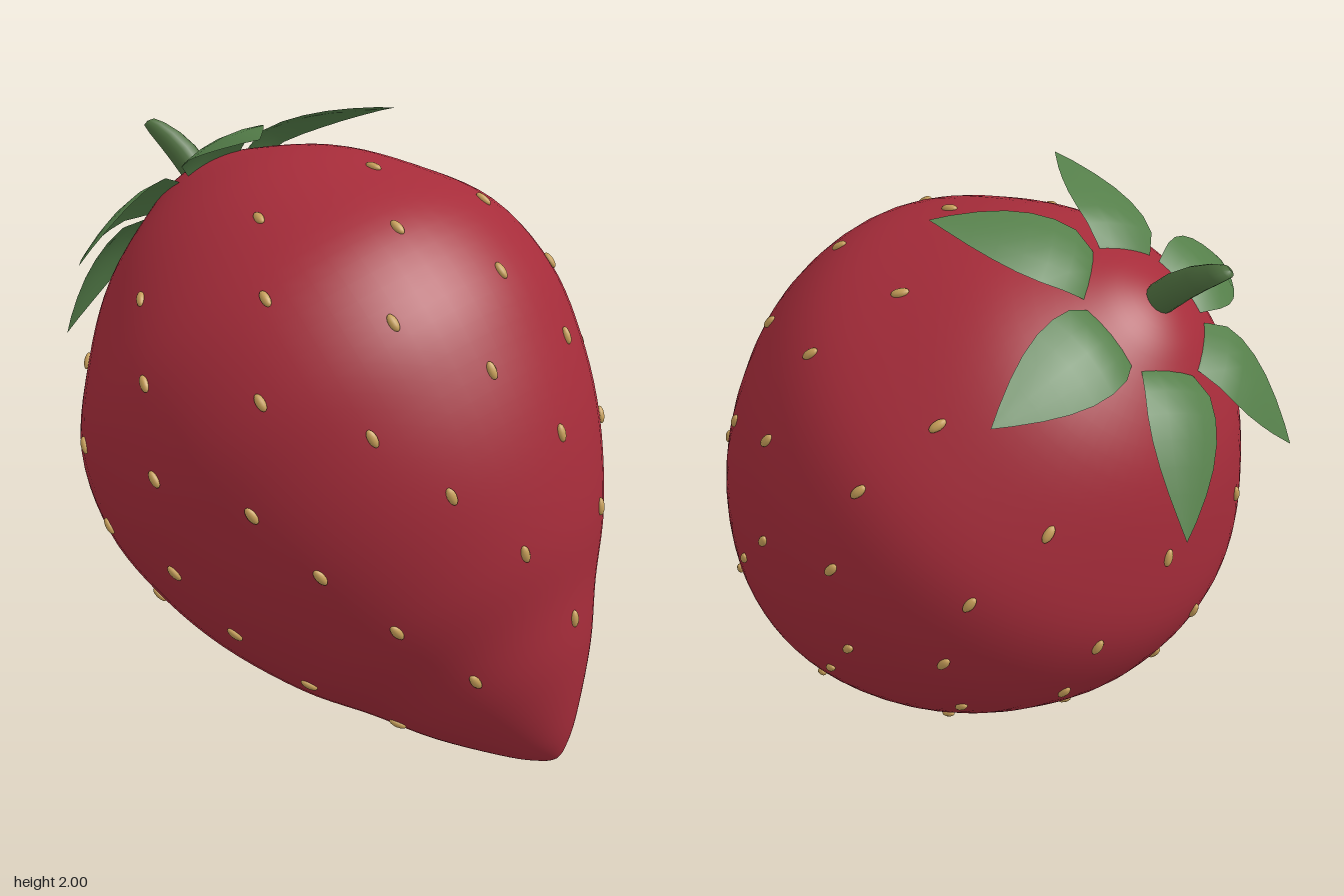
import * as THREE from 'three';
import { mergeGeometries } from 'three/addons/utils/BufferGeometryUtils.js';

const material = (color, extra = {}) => new THREE.MeshStandardMaterial({ color, roughness: 0.8, ...extra });

// The fruit is shaped upright around its own axis: (radius, height) from tip to crown
const profile = new THREE.SplineCurve([
  [0, -1.385], [0.04, -1.37], [0.13, -1.3], [0.3, -1.125], [0.43, -0.955], [0.583, -0.767],
  [0.73, -0.51], [0.82, -0.253], [0.858, 0], [0.81, 0.27], [0.65, 0.51], [0.46, 0.71],
  [0.22, 0.86], [0.1, 0.91], [0, 0.925],
].map(([r, y]) => new THREE.Vector2(r, y))).getPoints(70);
profile[0].x = profile[70].x = 0;

// Slight sideways curl of the tip
function curl(geometry) {
  const p = geometry.attributes.position;
  for (let i = 0; i < p.count; i++) {
    const x = p.getX(i), y = p.getY(i);
    p.setXY(i, x + 0.025 * Math.min(y, 0) ** 2, y + 0.02 * x);
  }
  return geometry;
}

// Small ellipsoid lying on the skin, long side running from crown to tip
function seed(y, angle) {
  const i = profile.findIndex((q) => q.y > y);
  const a = profile[i - 1], b = profile[i];
  const r = a.x + (b.x - a.x) * (y - a.y) / (b.y - a.y);
  return new THREE.SphereGeometry(1, 10, 8)
    .scale(0.012, 0.029, 0.015)
    .rotateZ(-Math.atan2(b.x - a.x, b.y - a.y))
    .translate(r + 0.003, y, 0)
    .rotateY(angle);
}

// Arched pointed leaf: stations of [distance from axis, height, half width]
function leaf() {
  const stations = [
    [0.12, 0.81, 0.05], [0.17, 0.845, 0.08], [0.22, 0.868, 0.105], [0.29, 0.886, 0.13], [0.36, 0.874, 0.136],
    [0.43, 0.85, 0.128], [0.5, 0.818, 0.107], [0.57, 0.78, 0.075], [0.64, 0.74, 0.034], [0.69, 0.71, 0],
  ];
  const across = 4;
  const g = new THREE.PlaneGeometry(1, 1, across, stations.length - 1);
  const p = g.attributes.position;
  stations.forEach(([r, y, w], i) => {
    for (let j = 0; j <= across; j++) {
      const v = j / across * 2 - 1;
      p.setXYZ(i * (across + 1) + j, r, y - 1.2 * (v * w) ** 2, v * w);
    }
  });
  g.computeVertexNormals();
  return g;
}

export function createModel() {
  const model = new THREE.Group();
  const add = (name, geometry, mat) => {
    const mesh = new THREE.Mesh(geometry, mat);
    mesh.name = name;
    model.add(mesh);
  };

  // Fruit body
  add('fruit', curl(new THREE.LatheGeometry(profile, 64)), material(0xa62c3a));

  // Seeds in evenly spaced rings: [count, offset as a fraction of a step]
  const rings = [[9, 0], [11, 0.5], [12, 0], [12, 0.5], [10, 0], [8, 0.5], [6, 0]];
  const seeds = [];
  rings.forEach(([count, offset], k) => {
    for (let i = 0; i < count; i++) {
      seeds.push(seed(0.51 - k * 0.2545, (i + offset) / count * Math.PI * 2));
    }
  });
  add('seeds', curl(mergeGeometries(seeds)), material(0xc8a05a));

  // Six leaves around the crown
  const green = material(0x557f4a, { side: THREE.DoubleSide });
  for (let i = 0; i < 6; i++) {
    add('leaf', curl(leaf().rotateY((i + 0.5) * Math.PI / 3)), green);
  }

  // Short bent stem
  const stemProfile = [[0, 0.86], [0.04, 0.87], [0.05, 0.93], [0.049, 1.0], [0.043, 1.07], [0.033, 1.13], [0.022, 1.165], [0, 1.175]];
  const stem = new THREE.LatheGeometry(stemProfile.map(([r, y]) => new THREE.Vector2(r, y)), 16);
  const p = stem.attributes.position;
  for (let i = 0; i < p.count; i++) p.setX(i, p.getX(i) - Math.max(p.getY(i) - 0.9, 0) ** 2);
  add('stem', stem, material(0x4f7040));

  // Lean the whole fruit onto its tip
  model.rotation.z = THREE.MathUtils.degToRad(40);
  model.position.set(-0.042, 1.061, 0);
  const root = new THREE.Group();
  root.name = 'strawberry';
  root.add(model);
  return root;
}
